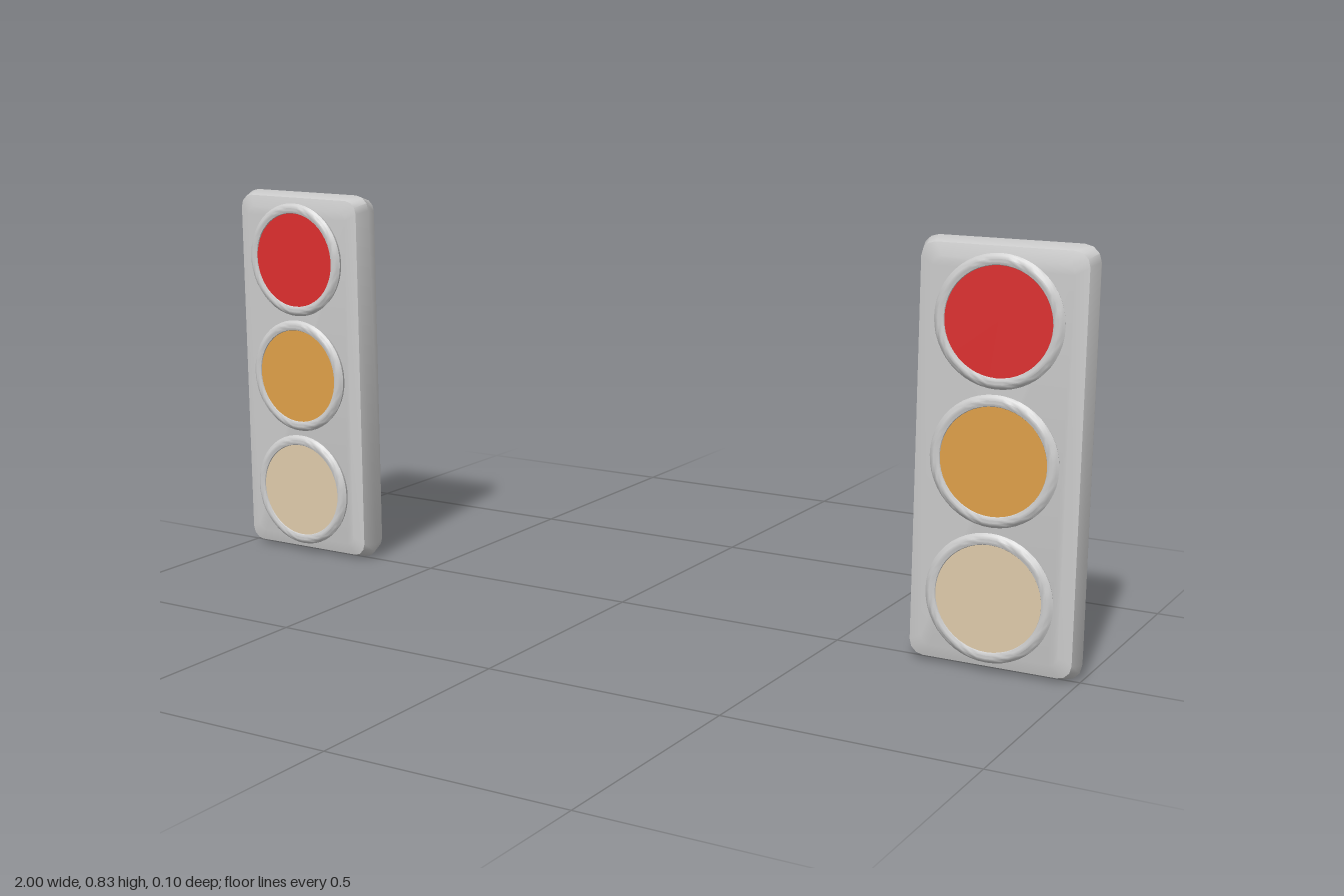
import * as THREE from 'three';
import { toCreasedNormals } from 'three/addons/utils/BufferGeometryUtils.js';

const W = 0.345, H = 0.826;
const grey = new THREE.MeshStandardMaterial({ color: 0xcccccc });

// Rounded rectangle outline, shrunk by an inset, counter-clockwise seen from +z
function outline(inset, z) {
  const r = Math.max(0.032 - inset * 0.4, 0.008), steps = 3, pts = [];
  const cx = W / 2 - inset - r, cy = H / 2 - inset - r;
  [[1, 1], [-1, 1], [-1, -1], [1, -1]].forEach(([sx, sy], q) => {
    for (let i = 0; i <= steps; i++) {
      const a = (q + i / steps) * Math.PI / 2;
      pts.push([sx * cx + r * Math.cos(a), H / 2 + sy * cy + r * Math.sin(a), z]);
    }
  });
  return pts;
}

// Slab with bulging sides and shallow bevels, built from outlines stacked along z
function housingGeometry() {
  const loops = [[0.035, -0.047], [0.01, -0.04], [0, -0.006], [0.01, 0.026], [0.035, 0.033]]
    .map(([inset, z]) => outline(inset, z));
  const n = loops[0].length, pos = loops.flat(2), index = [];
  for (let l = 0; l < loops.length - 1; l++) {
    for (let i = 0; i < n; i++) {
      const a = l * n + i, b = l * n + (i + 1) % n;
      index.push(a, b, b + n, a, b + n, a + n);
    }
  }
  const last = (loops.length - 1) * n;
  for (let i = 1; i < n - 1; i++) {
    index.push(0, i + 1, i);
    index.push(last, last + i, last + i + 1);
  }
  const g = new THREE.BufferGeometry();
  g.setAttribute('position', new THREE.Float32BufferAttribute(pos, 3));
  g.setIndex(index);
  return toCreasedNormals(g, 0.7);
}

// Raised rim around each lens, turned so its axis points along z
function rimGeometry() {
  const profile = [[0.122, 0.028], [0.125, 0.035], [0.127, 0.041], [0.123, 0.046],
    [0.117, 0.049], [0.111, 0.049], [0.106, 0.047], [0.104, 0.043]];
  const g = new THREE.LatheGeometry(profile.map(([r, z]) => new THREE.Vector2(r, z)), 48);
  return toCreasedNormals(g.rotateX(Math.PI / 2), 0.7);
}

export function createModel() {
  const model = new THREE.Group();
  const housing = housingGeometry(), rim = rimGeometry();
  const lens = new THREE.CircleGeometry(0.106, 48);
  const lamps = [['red', 0xdd2e2e, 0.678], ['amber', 0xde9f48, 0.414], ['cream', 0xdecaaa, 0.149]];
  rim.computeBoundingBox();

  for (const [side, x] of [['left', 0.828], ['right', -0.828]]) {
    const unit = new THREE.Group();
    unit.name = side + 'LightUnit';
    unit.position.x = x;

    const body = new THREE.Mesh(housing, grey);
    body.name = 'housing';
    unit.add(body);

    for (const [name, color, y] of lamps) {
      const ring = new THREE.Mesh(rim, new THREE.MeshStandardMaterial({ color: 0xcccccc, side: THREE.DoubleSide }));
      ring.name = name + 'LampRim';
      ring.position.y = y;
      const glass = new THREE.Mesh(lens, new THREE.MeshStandardMaterial({ color }));
      glass.name = name + 'Lens';
      glass.position.set(0, y, 0.045);
      unit.add(ring, glass);
    }
    model.add(unit);
  }
  return model;
}
